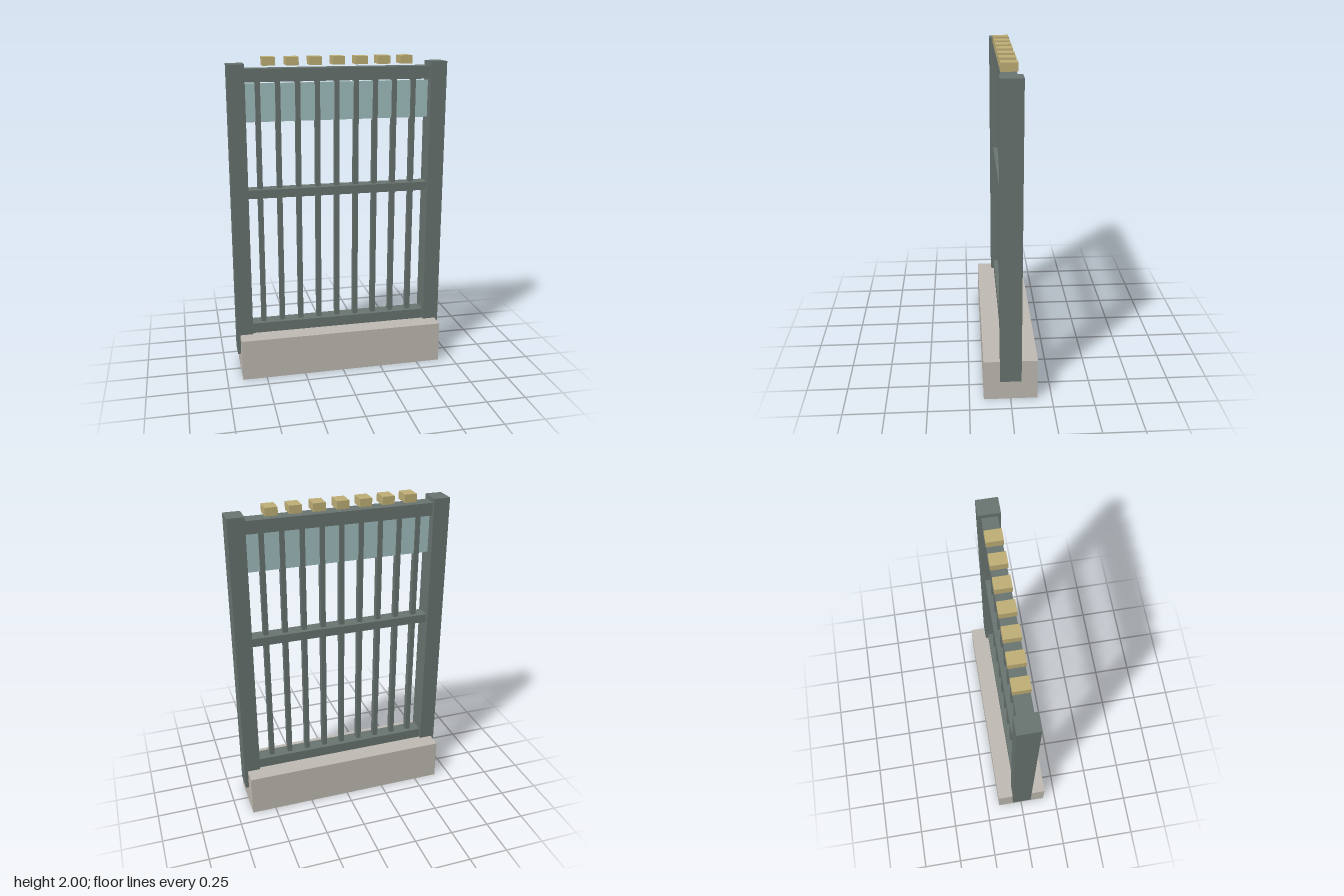
import * as THREE from 'three';

export function createModel() {
  const group = new THREE.Group();
  const material = (name, color) => {
    const m = new THREE.MeshStandardMaterial({ color });
    m.name = name;
    return m;
  };
  const paint = material('grey green paint', 0x6a7571);
  const stone = material('pale stone', 0xc0bbb3);
  const brass = material('dull gold', 0xc0b077);
  const glass = material('pale blue glass', 0xa2c0c0);

  // Box given by centre x, bottom and top heights, width and depth
  const box = (name, mat, x, y0, y1, w, d) => {
    const mesh = new THREE.Mesh(new THREE.BoxGeometry(w, y1 - y0, d), mat);
    mesh.name = name;
    mesh.position.set(x, (y0 + y1) / 2, 0);
    group.add(mesh);
  };

  // Stone footing
  box('footing', stone, 0, 0, 0.263, 1.304, 0.326);

  // Side posts, sunk into the footing and slightly proud of its ends
  for (const side of [-1, 1]) {
    box(side > 0 ? 'leftPost' : 'rightPost', paint, side * 0.621, 0.135, 1.963, 0.102, 0.128);
  }

  // Horizontal rails between the posts
  box('bottomRail', paint, 0, 0.25, 0.328, 1.14, 0.092);
  box('middleRail', paint, 0, 1.152, 1.205, 1.14, 0.09);
  box('topRail', paint, 0, 1.857, 1.935, 1.14, 0.092);

  // Vertical bars
  for (let i = 0; i < 9; i++) {
    box('bar', paint, -0.492 + i * 0.1207, 0.32, 1.86, 0.031, 0.038);
  }

  // Glazed strip below the top rail
  box('glassPanel', glass, 0, 1.617, 1.847, 1.14, 0.02);

  // Row of small blocks hovering just above the top rail
  for (let i = 0; i < 7; i++) {
    box('topBlock', brass, -0.425 + i * 0.1402, 1.951, 2, 0.075, 0.098);
  }

  return group;
}
